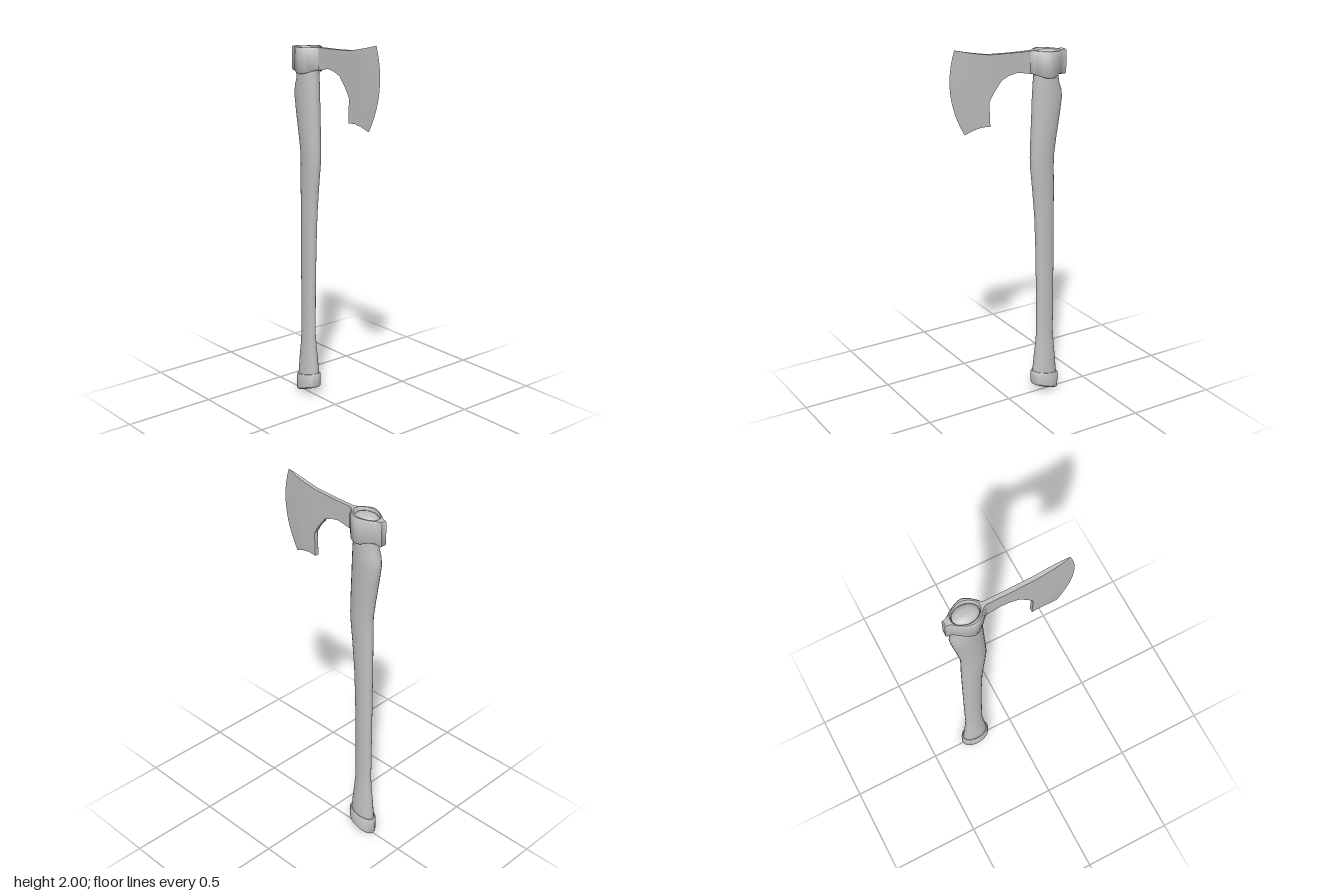
import * as THREE from 'three';
import { toCreasedNormals } from 'three/addons/utils/BufferGeometryUtils.js';

const SIDES = 24;
const AXIS_Z = -0.225;

// Skin a list of equal-length rings of [x, y, z]; optionally close the ends.
function loft(rings, caps = true, crease = 0.7) {
  const n = rings[0].length;
  const pos = rings.flat(2);
  const index = [];
  for (let i = 0; i < rings.length - 1; i++) {
    for (let j = 0; j < n; j++) {
      const a = i * n + j, b = i * n + ((j + 1) % n);
      index.push(a, b, b + n, a, b + n, a + n);
    }
  }
  if (caps) {
    for (const r of [0, rings.length - 1]) {
      const c = pos.length / 3;
      for (let k = 0; k < 3; k++) pos.push(rings[r].reduce((s, p) => s + p[k], 0) / n);
      for (let j = 0; j < n; j++) {
        const a = r * n + j, b = r * n + ((j + 1) % n);
        if (r === 0) index.push(c, b, a);
        else index.push(c, a, b);
      }
    }
  }
  const g = new THREE.BufferGeometry();
  g.setAttribute('position', new THREE.Float32BufferAttribute(pos, 3));
  g.setIndex(index);
  return toCreasedNormals(g, crease);
}

// Horizontal oval, optionally sloped along z.
function oval(y, zFront, zBack, hx, slope = 0) {
  const c = (zFront + zBack) / 2, hz = (zFront - zBack) / 2;
  return Array.from({ length: SIDES }, (_, j) => {
    const a = (j / SIDES) * Math.PI * 2;
    return [hx * Math.sin(a), y + slope * hz * Math.cos(a), c + hz * Math.cos(a)];
  });
}

function handleGeometry() {
  // y, front z, back z, half width
  const sections = [
    [0.10, -0.156, -0.307, 0.045], [0.20, -0.165, -0.298, 0.04], [0.28, -0.173, -0.29, 0.033],
    [0.36, -0.18, -0.284, 0.028], [0.60, -0.177, -0.283, 0.029], [0.85, -0.171, -0.281, 0.031],
    [1.05, -0.162, -0.279, 0.034], [1.20, -0.148, -0.277, 0.037], [1.32, -0.135, -0.274, 0.04],
    [1.38, -0.132, -0.274, 0.042], [1.48, -0.135, -0.287, 0.046], [1.60, -0.14, -0.306, 0.05],
    [1.69, -0.143, -0.318, 0.052], [1.73, -0.145, -0.313, 0.052], [1.78, -0.149, -0.296, 0.051],
    [1.82, -0.153, -0.292, 0.05], [1.925, -0.157, -0.293, 0.05],
    // domed end grain
    [1.936, -0.167, -0.283, 0.043], [1.943, -0.187, -0.263, 0.028], [1.946, -0.21, -0.24, 0.011],
  ];
  return loft(sections.map((s) => oval(...s)));
}

function pommelGeometry() {
  return loft([
    oval(0.028, -0.155, -0.313, 0.046, 0.33),
    oval(0.037, -0.149, -0.317, 0.053, 0.32),
    oval(0.108, -0.149, -0.317, 0.053, 0.21),
    oval(0.117, -0.154, -0.311, 0.048, 0.21),
  ], true, 0.6);
}

// Band around the handle with a narrow poll at the back.
function eyeGeometry() {
  // half width, z, bottom y, top y
  const half = [
    [0.011, -0.12, 1.832, 1.949], [0.022, -0.138, 1.826, 1.948], [0.037, -0.152, 1.82, 1.947],
    [0.058, -0.175, 1.812, 1.946], [0.072, -0.2, 1.808, 1.945], [0.074, -0.215, 1.807, 1.945],
    [0.067, -0.243, 1.809, 1.943], [0.047, -0.28, 1.82, 1.94], [0.028, -0.305, 1.82, 1.938],
    [0.02, -0.32, 1.814, 1.938], [0.016, -0.337, 1.809, 1.938],
  ];
  const outline = [...half, ...half.slice().reverse().map(([x, ...r]) => [-x, ...r])];
  const rings = outline.map(([x, z, bot, top]) => {
    const a = Math.atan2(x / 0.052, (z - AXIS_Z) / 0.07);
    const ix = 0.052 * Math.sin(a), iz = AXIS_Z + 0.07 * Math.cos(a);
    const inset = Math.min(0.3, 0.006 / Math.hypot(x - ix, z - iz));
    const at = (f, y) => [ix + (x - ix) * f, y, iz + (z - iz) * f];
    return [
      at(0, bot), at(0, top - 0.012), at(inset, top), at(1 - inset, top),
      at(1, top - 0.008), at(1, bot + 0.008), at(1 - inset, bot),
    ];
  });
  rings.push(rings[0]);
  return loft(rings, false, 0.8);
}

// Bearded blade: stations run from the eye to the cutting edge.
function bladeGeometry() {
  // top z, top y, bottom z, bottom y, forward bulge, half thickness
  const stations = [
    [-0.135, 1.949, -0.135, 1.829, 0, 0.011], [-0.07, 1.95, -0.048, 1.847, 0, 0.011],
    [-0.02, 1.951, 0, 1.84, 0, 0.011], [0.03, 1.953, 0.048, 1.82, 0, 0.011],
    [0.08, 1.956, 0.095, 1.762, 0, 0.011], [0.115, 1.957, 0.122, 1.717, 0, 0.011],
    [0.16, 1.965, 0.117, 1.59, 0.01, 0.011], [0.21, 1.975, 0.165, 1.594, 0.025, 0.01],
    [0.258, 1.986, 0.212, 1.585, 0.04, 0.008], [0.312, 2.0, 0.26, 1.565, 0.052, 0.0005],
  ];
  const steps = 12;
  const rings = stations.map(([tz, ty, bz, by, bulge, hx]) => {
    const side = Array.from({ length: steps + 1 }, (_, i) => {
      const t = i / steps;
      return [hx, by + (ty - by) * t, bz + (tz - bz) * t + bulge * 4 * t * (1 - t)];
    });
    return [...side, ...side.slice().reverse().map(([x, y, z]) => [-x, y, z])];
  });
  return loft(rings, true, 0.5);
}

export function createModel() {
  const grey = new THREE.MeshStandardMaterial({ color: 0xc0c0c0 });
  grey.name = 'plain grey';
  const model = new THREE.Group();
  model.name = 'beardedAxe';
  const add = (name, geometry, parent) => {
    const mesh = new THREE.Mesh(geometry, grey);
    mesh.name = name;
    parent.add(mesh);
  };
  add('handle', handleGeometry(), model);
  add('pommelCap', pommelGeometry(), model);
  const head = new THREE.Group();
  head.name = 'axeHead';
  add('eyeBand', eyeGeometry(), head);
  add('blade', bladeGeometry(), head);
  model.add(head);
  return model;
}
